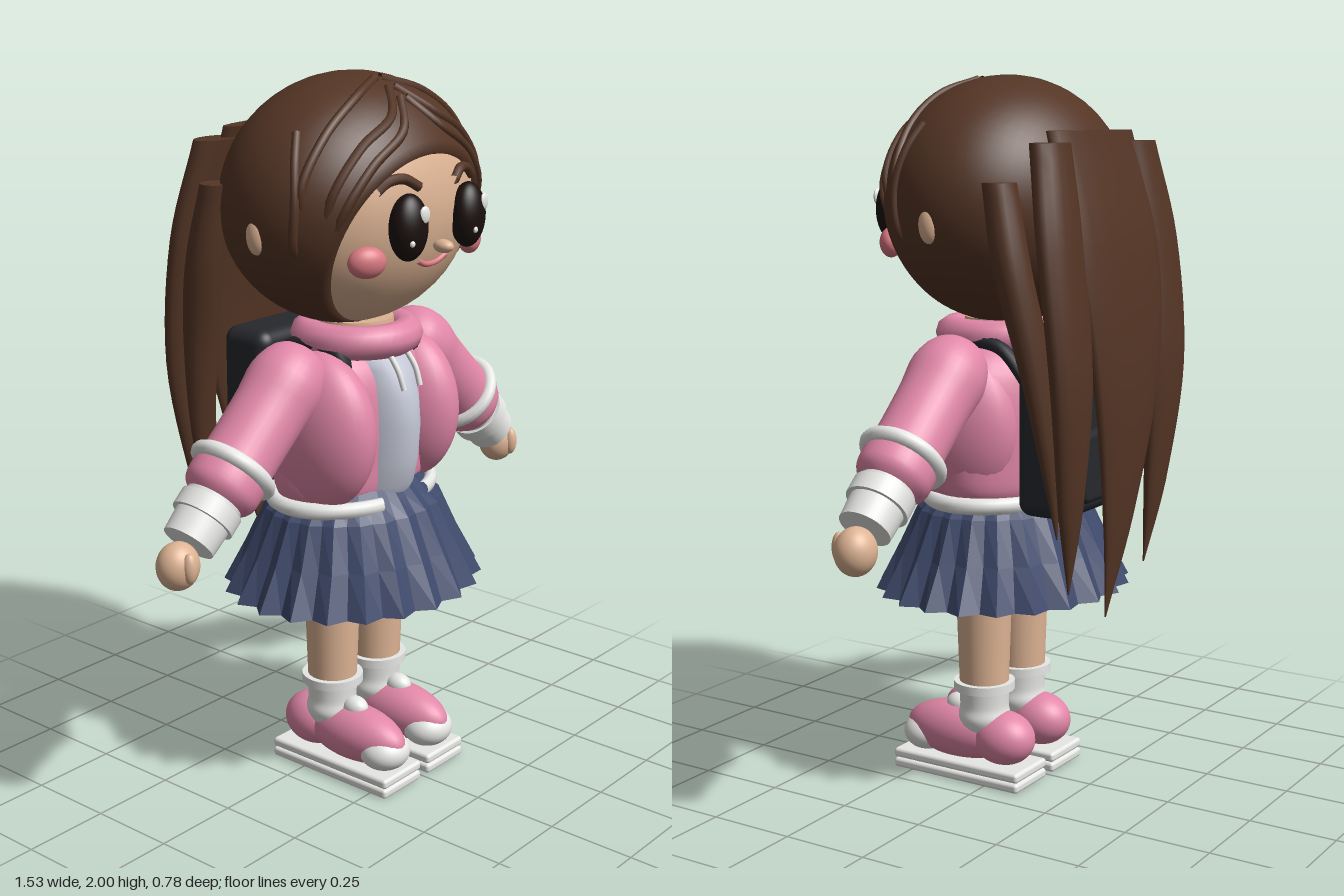
import * as THREE from 'three';
import { RoundedBoxGeometry } from 'three/addons/geometries/RoundedBoxGeometry.js';

const paint = (name, color, side = THREE.FrontSide) => {
  const m = new THREE.MeshStandardMaterial({ color, side });
  m.name = name;
  return m;
};

// Closed rings of points joined into a surface, from top ring to bottom ring
function loft(rows) {
  const n = rows[0].length, index = [];
  for (let j = 0; j < rows.length - 1; j++) {
    for (let i = 0; i < n; i++) {
      const a = j * n + i, b = j * n + (i + 1) % n;
      index.push(a, b, a + n, b, b + n, a + n);
    }
  }
  const g = new THREE.BufferGeometry().setFromPoints(rows.flat());
  g.setIndex(index);
  g.computeVertexNormals();
  return g;
}

const ring = (x, y, z, rx, rz, n = 16, wave = 0) => Array.from({ length: n }, (_, i) => {
  const a = i / n * Math.PI * 2, k = 1 + (i % 2 ? -wave : wave);
  return new THREE.Vector3(x + rx * k * Math.cos(a), y, z + rz * k * Math.sin(a));
});

export function createModel() {
  const model = new THREE.Group();
  model.name = 'girl';
  const hair = paint('brown hair', 0x543525, THREE.DoubleSide);
  const skin = paint('skin', 0xdeb494);
  const pink = paint('pink cloth', 0xe288a8);
  const white = paint('white trim', 0xe8e8e6);
  const shirtGrey = paint('pale shirt', 0xc6cad8);
  const navy = paint('navy skirt', 0x3f4a6c, THREE.DoubleSide);
  const black = paint('dark backpack', 0x26282d);
  const eyeDark = paint('eye dark', 0x1a100e);
  const blush = paint('blush', 0xdc7a82);

  const add = (name, geo, mat, pos = [0, 0, 0], parent = model) => {
    const m = new THREE.Mesh(geo, mat);
    m.name = name;
    m.position.set(...pos);
    parent.add(m);
    return m;
  };
  const ball = (name, mat, pos, r, parent) => {
    const m = add(name, new THREE.SphereGeometry(1, 32, 24), mat, pos, parent);
    m.scale.set(...r);
    return m;
  };
  const tube = (name, mat, pts, r) => add(name, new THREE.TubeGeometry(
    new THREE.CatmullRomCurve3(pts.map(p => new THREE.Vector3(...p))), 24, r, 8), mat);
  const lathe = (pts, n = 32) => new THREE.LatheGeometry(
    new THREE.SplineCurve(pts.map(p => new THREE.Vector2(...p))).getPoints(24)
      .map(p => p.setX(Math.max(p.x, 0))), n);
  const hoop = (r, t) => new THREE.TorusGeometry(r, t, 10, 36).rotateX(Math.PI / 2);

  // Head
  ball('head', skin, [0, 1.66, 0.03], [0.382, 0.338, 0.298]);
  ball('nose', skin, [0, 1.565, 0.345], [0.022, 0.018, 0.03]);
  const faceZ = (x, y) => 0.03 + 0.298 *
    Math.sqrt(Math.max(0, 1 - (x / 0.382) ** 2 - ((y - 1.66) / 0.338) ** 2));
  const onFace = ([x, y]) => [x, y, faceZ(x, y) + 0.004];
  tube('mouth', blush, [[-0.06, 1.53], [-0.03, 1.517], [0, 1.513], [0.03, 1.517], [0.06, 1.53]].map(onFace), 0.008);

  // Hair cap: an ellipsoid with an oval opening for the face
  const rows = [], back = new THREE.Vector3(0, 0, -1), n = 72;
  for (let j = -1; j <= 28; j++) {
    const row = [];
    for (let i = 0; i < n; i++) {
      const u = -i / n * Math.PI * 2;
      const x = 0.73 * Math.cos(u), y = -0.27 + 0.7 * Math.sin(u);
      const p = new THREE.Vector3(x, y, Math.sqrt(Math.max(0, 1 - x * x - y * y)));
      const angle = p.angleTo(back), axis = p.clone().cross(back).normalize();
      p.applyAxisAngle(axis, angle * Math.max(j, 0) / 28);
      if (j < 0) p.multiplyScalar(0.9);
      row.push(new THREE.Vector3(p.x * 0.4, 1.66 + p.y * 0.34, 0.025 + p.z * 0.315));
    }
    rows.push(row);
  }
  add('hairCap', loft(rows), hair);

  // Long hair locks: each point is x, y, z, half width, half thickness
  const lock = (name, pts) => {
    const curve = i => new THREE.CatmullRomCurve3(pts.map(p => new THREE.Vector3(...p.slice(i, i + 3))));
    const path = curve(0), size = curve(2);
    const top = pts[0], rings = [ring(top[0], top[1], top[2], 0, 0), ring(...top)];
    for (let k = 0; k <= 24; k++) {
      const p = path.getPoint(k / 24), s = size.getPoint(k / 24);
      rings.push(ring(p.x, p.y, p.z, Math.max(s.y, 0.001), Math.max(s.z, 0.001)));
    }
    add(name, loft(rings), hair);
  };
  lock('centreLock', [[0, 1.85, -0.235, 0.22, 0.045], [0, 1.55, -0.315, 0.23, 0.045],
    [0, 1.2, -0.355, 0.18, 0.035], [0.02, 0.8, -0.345, 0.08, 0.02], [0.045, 0.52, -0.32, 0.002, 0.002]]);

  const hairPoint = (s, k) => ([x, y]) => [s * x * k, 1.66 + (y - 1.66) * k, 0.025 + 0.315 * k *
    Math.sqrt(Math.max(0, 1 - (x / 0.4) ** 2 - ((y - 1.66) / 0.34) ** 2))];
  const ridges = [
    [[0.01, 1.985], [0.14, 1.945], [0.27, 1.86], [0.35, 1.74], [0.36, 1.66]],
    [[0.01, 1.965], [0.09, 1.9], [0.21, 1.835], [0.3, 1.73], [0.33, 1.62]],
    [[0.01, 1.94], [0.08, 1.865], [0.2, 1.79], [0.28, 1.69], [0.31, 1.6]],
    [[0.3, 1.87], [0.34, 1.8], [0.365, 1.7], [0.365, 1.6], [0.35, 1.54]],
  ];

  for (const s of [1, -1]) {
    const side = s > 0 ? 'left' : 'right';

    // Hair on the sides
    lock(side + 'MidLock', [[s * 0.235, 1.82, -0.25, 0.075, 0.045], [s * 0.265, 1.55, -0.3, 0.095, 0.045],
      [s * 0.265, 1.2, -0.335, 0.09, 0.04], [s * 0.24, 0.85, -0.32, 0.05, 0.025], [s * 0.215, 0.62, -0.3, 0.002, 0.002]]);
    lock(side + 'OuterLock', [[s * 0.33, 1.72, -0.155, 0.05, 0.045], [s * 0.34, 1.5, -0.2, 0.055, 0.05],
      [s * 0.31, 1.25, -0.25, 0.055, 0.04], [s * 0.28, 1, -0.28, 0.04, 0.025], [s * 0.26, 0.78, -0.29, 0.002, 0.002]]);
    for (const r of ridges) {
      const pts = r.map((p, i) => hairPoint(s, i === r.length - 1 ? 0.95 : 1)(p));
      tube(side + 'FringeStrand', hair, pts, 0.013);
    }

    // Face details
    ball(side + 'Ear', skin, [s * 0.38, 1.61, 0.03], [0.025, 0.052, 0.03]);
    const eye = new THREE.Group();
    eye.name = side + 'Eye';
    eye.position.set(s * 0.128, 1.63, 0.328);
    eye.rotation.y = s * 0.12;
    model.add(eye);
    ball('pupil', eyeDark, [0, 0, 0], [0.058, 0.088, 0.045], eye);
    ball('highlight', white, [0.02, 0.035, 0.038], [0.018, 0.023, 0.008], eye);
    ball('smallHighlight', white, [-0.022, -0.035, 0.037], [0.008, 0.009, 0.006], eye);
    tube(side + 'Brow', hair, [[s * 0.075, 1.728], [s * 0.12, 1.752], [s * 0.165, 1.748], [s * 0.2, 1.725]].map(onFace), 0.014);
    ball(side + 'Cheek', blush, [s * 0.222, 1.545, 0.267], [0.053, 0.042, 0.032]).rotation.y = s * 0.5;

    // Jacket front, drawstring and backpack strap
    ball(side + 'JacketFront', pink, [s * 0.185, 1.047, 0.072], [0.11, 0.222, 0.182]);
    tube(side + 'Drawstring', white, [[s * 0.035, 1.26, 0.19], [s * 0.037, 1.21, 0.228], [s * 0.035, 1.16, 0.247]], 0.008);
    tube(side + 'Strap', black, [[s * 0.15, 1.15, -0.15], [s * 0.16, 1.265, -0.05], [s * 0.16, 1.275, 0.06], [s * 0.15, 1.25, 0.125], [s * 0.15, 1.15, 0.13]], 0.02);

    // Arm, built along its own y axis from the shoulder
    const arm = new THREE.Group();
    arm.name = side + 'Arm';
    arm.position.set(s * 0.28, 1.2, 0.04);
    arm.quaternion.setFromUnitVectors(new THREE.Vector3(0, 1, 0), new THREE.Vector3(s * 0.74, -0.67, 0).normalize());
    model.add(arm);
    add('sleeve', lathe([[0, -0.11], [0.075, -0.08], [0.108, 0], [0.102, 0.1], [0.1, 0.25], [0.105, 0.32], [0.097, 0.37], [0.05, 0.41]]), pink, [0, 0, 0], arm);
    add('sleeveBand', hoop(0.104, 0.021), white, [0, 0.29, 0], arm);
    add('cuff', new THREE.CylinderGeometry(0.073, 0.08, 0.14, 32), white, [0, 0.45, 0], arm);
    add('cuffBand', new THREE.CylinderGeometry(0.088, 0.088, 0.05, 32), white, [0, 0.425, 0], arm);
    ball(side + 'Hand', skin, [s * 0.705, 0.8, 0.04], [0.06, 0.065, 0.055]);
    ball(side + 'Thumb', skin, [s * 0.71, 0.805, 0.088], [0.02, 0.042, 0.02]);

    // Leg, sock and shoe
    const x = s * 0.1;
    add(side + 'Leg', new THREE.CylinderGeometry(0.085, 0.07, 0.44, 32), skin, [x, 0.48, 0.045]);
    add(side + 'Sock', lathe([[0.055, 0.13], [0.075, 0.18], [0.07, 0.22], [0.073, 0.28]]), white, [x, 0, 0.045]);
    add(side + 'SockCuff', new THREE.CylinderGeometry(0.088, 0.088, 0.025, 32), white, [x, 0.28, 0.045]);
    ball(side + 'ShoeFront', pink, [x, 0.128, 0.13], [0.08, 0.083, 0.175]);
    ball(side + 'ShoeHeel', pink, [x, 0.128, -0.02], [0.079, 0.078, 0.096]);
    ball(side + 'ToeCap', white, [x, 0.104, 0.24], [0.075, 0.056, 0.073]);
    ball(side + 'ShoeTongue', white, [x, 0.205, 0.13], [0.032, 0.032, 0.042]);
    for (const y of [0.0145, 0.0445]) add(side + 'Sole', new RoundedBoxGeometry(0.168, 0.028, 0.425, 3, 0.01), white, [x, y, 0.097]);
  }

  // Torso, collar and shirt
  const torso = add('jacketBack', lathe([[0.2, 0.82], [0.26, 0.86], [0.275, 0.95], [0.28, 1.08], [0.25, 1.2], [0.15, 1.275], [0, 1.3]]), pink, [0, 0, 0.03]);
  torso.scale.z = 0.62;
  add('neck', new THREE.CylinderGeometry(0.11, 0.12, 0.1, 32), skin, [0, 1.285, 0.04]);
  add('collar', hoop(0.138, 0.047), pink, [0, 1.288, 0.05]);
  const shirtRings = [[1.27, 0], [1.26, 0.105], [1.21, 0.145], [1.13, 0.172], [1.05, 0.18], [0.95, 0.172], [0.88, 0.155], [0.84, 0.13]]
    .map(([y, d]) => ring(0, y, 0.08, d ? 0.106 : 0, d, 40));
  add('shirt', loft(shirtRings), shirtGrey);
  const hem = new THREE.TorusGeometry(0.265, 0.023, 10, 48, Math.PI * 1.78)
    .rotateZ(Math.PI * 0.61).rotateX(Math.PI / 2).scale(1, 1, 0.73);
  add('jacketHem', hem, white, [0, 0.837, 0.035]);

  // Pleated skirt with a rounded underskirt inside
  const pleats = 44;
  const skirt = loft([
    ring(0, 0.872, 0.04, 0.2, 0.165, pleats, 0.01),
    ring(0, 0.845, 0.04, 0.23, 0.19, pleats, 0.01),
    ring(0, 0.8, 0.04, 0.275, 0.228, pleats, 0.02),
    ring(0, 0.68, 0.04, 0.325, 0.283, pleats, 0.03),
    ring(0, 0.563, 0.04, 0.385, 0.335, pleats, 0.045),
  ]).toNonIndexed();
  skirt.computeVertexNormals();
  add('skirt', skirt, navy);
  ball('underskirt', navy, [0, 0.65, 0.04], [0.32, 0.085, 0.275]);

  // Backpack
  add('backpack', new RoundedBoxGeometry(0.4, 0.48, 0.165, 4, 0.04), black, [0, 1.05, -0.2]);
  add('backpackPocket', new RoundedBoxGeometry(0.26, 0.2, 0.05, 3, 0.02), black, [0, 0.95, -0.285]);

  return model;
}
